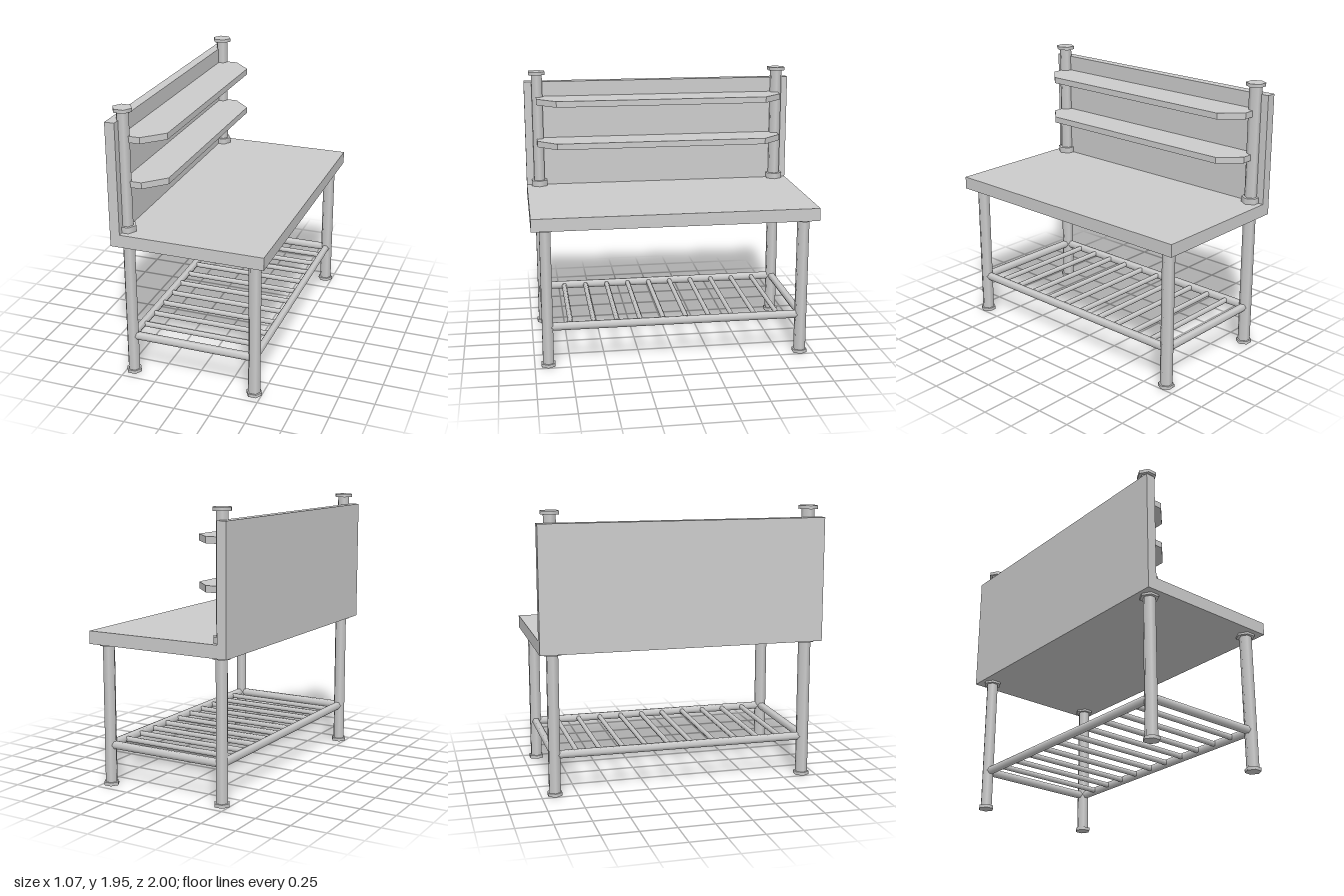
import * as THREE from 'three';

const material = new THREE.MeshStandardMaterial({ color: 0xcccccc });
const POST_X = 0.447, POST_Z = 0.905;

export function createModel() {
  const group = new THREE.Group();

  const add = (name, geometry, x = 0, y = 0, z = 0) => {
    const mesh = new THREE.Mesh(geometry, material);
    mesh.name = name;
    mesh.position.set(x, y, z);
    group.add(mesh);
    return mesh;
  };

  // Upright hexagonal tube with corners pointing along x
  const upright = (name, r, y0, y1, x, z) =>
    add(name, new THREE.CylinderGeometry(r, r, y1 - y0, 6, 1, false, Math.PI / 2), x, (y0 + y1) / 2, z);

  // Horizontal tube along the x or z axis
  const bar = (name, axis, r, length, x, y, z) => {
    const geometry = new THREE.CylinderGeometry(r, r, length, 6);
    if (axis === 'x') geometry.rotateZ(Math.PI / 2);
    else geometry.rotateZ(Math.PI / 2).rotateY(Math.PI / 2);
    return add(name, geometry, x, y, z);
  };

  const outline = (points) => new THREE.Shape(points.map(([x, y]) => new THREE.Vector2(x, y)));

  // Worktop and back panel as one L-shaped profile
  const profile = outline([
    [-0.537, 1.0], [0.537, 1.0], [0.537, 1.09], [-0.468, 1.09], [-0.468, 1.87], [-0.537, 1.87],
  ]);
  add('worktopAndBackPanel', new THREE.ExtrudeGeometry(profile, { depth: 2, bevelEnabled: false }), 0, 0, -1);

  // Four legs with feet and top flanges
  for (const x of [-POST_X, POST_X]) {
    for (const z of [-POST_Z, POST_Z]) {
      upright('leg', 0.044, 0.005, 1.01, x, z);
      upright('foot', 0.056, 0, 0.023, x, z);
      upright('legFlange', 0.066, 0.985, 1.003, x, z);
    }
  }

  // Shelf posts with base collars and caps
  for (const z of [-POST_Z, POST_Z]) {
    upright('shelfPost', 0.045, 1.08, 1.94, -0.453, z);
    upright('postCollar', 0.066, 1.08, 1.132, -0.453, z);
    upright('postCap', 0.068, 1.926, 1.95, -0.453, z);
  }

  // Two shelves with clipped front corners
  const shelf = outline([
    [-0.468, -0.915], [-0.335, -0.915], [-0.2, -0.775],
    [-0.2, 0.775], [-0.335, 0.915], [-0.468, 0.915],
  ]);
  for (const y of [1.405, 1.717]) {
    const geometry = new THREE.ExtrudeGeometry(shelf, { depth: 0.044, bevelEnabled: false });
    geometry.rotateX(-Math.PI / 2);
    add('shelf', geometry, 0, y, 0);
  }

  // Lower rack frame
  const rackY = 0.288;
  for (const s of [-1, 1]) {
    bar('rackSideRail', 'z', 0.029, POST_Z * 2, s * POST_X, rackY, 0);
    bar('rackEndRail', 'x', 0.029, POST_X * 2, 0, rackY, s * POST_Z);
  }

  // Rack slats
  const slats = 10;
  for (let i = 1; i <= slats; i++) {
    const z = POST_Z * (2 * i / (slats + 1) - 1);
    bar('rackSlat', 'x', 0.019, POST_X * 2, 0, rackY, z);
  }

  return group;
}
